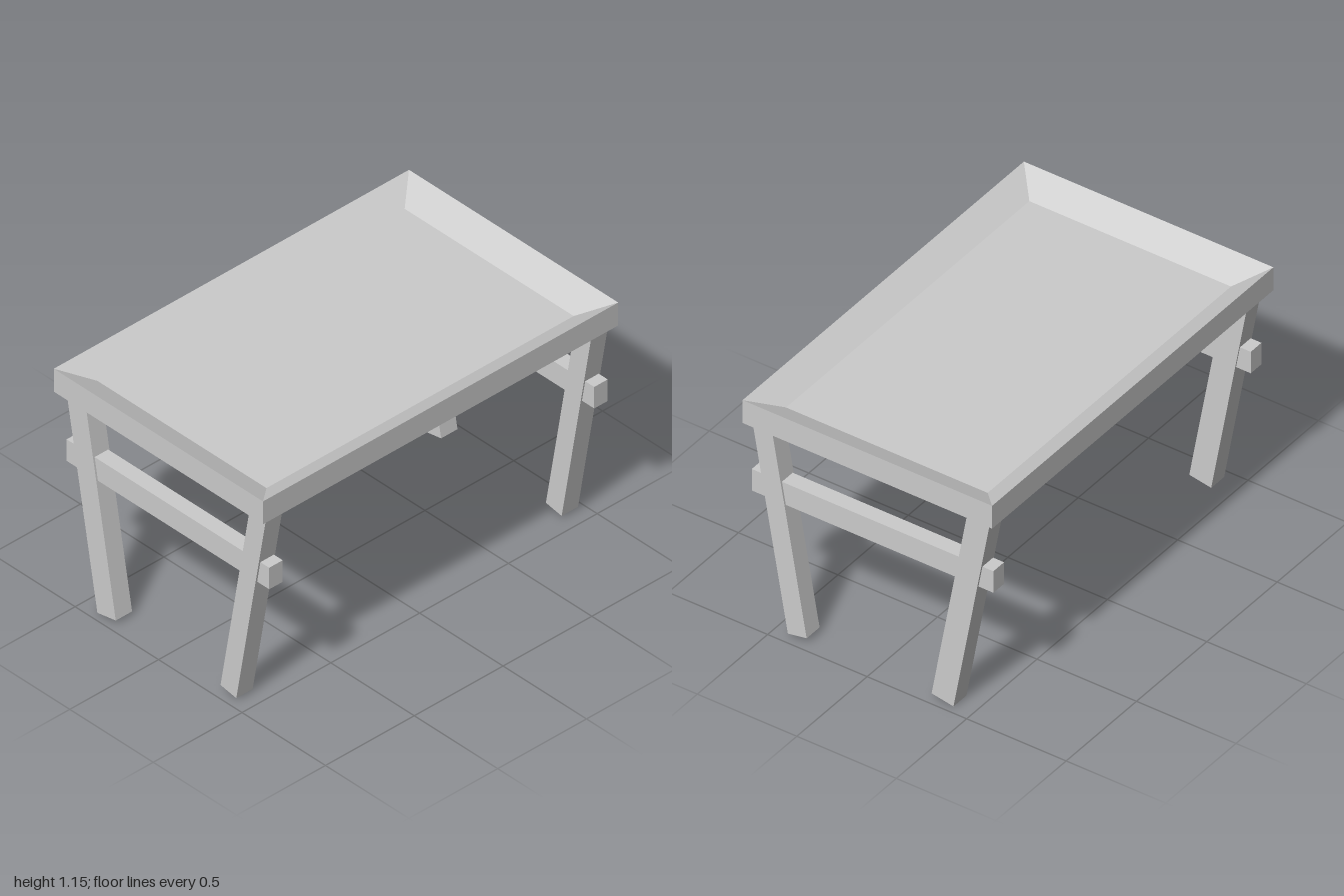
import * as THREE from 'three';

const grey = new THREE.MeshStandardMaterial({ color: 0xcccccc, flatShading: true });
const greyThin = new THREE.MeshStandardMaterial({ color: 0xcccccc, flatShading: true, side: THREE.DoubleSide });

// Rectangle of four corners at height y, going round from back left
const ring = (x, y, zBack, zFront) => [[-x, y, zBack], [-x, y, zFront], [x, y, zFront], [x, y, zBack]];

// Thin open-bottomed tray: outer wall, sloping inner wall, sunken floor
function trayGeometry() {
  const rings = [
    ring(1, 1.03, -0.628, 0.626),
    ring(1, 1.147, -0.628, 0.626),
    ring(0.865, 1.08, -0.51, 0.503),
  ];
  const points = [];
  const quad = (a, b, c, d) => points.push(...a, ...b, ...c, ...a, ...c, ...d);
  for (let r = 0; r < 2; r++) {
    for (let i = 0; i < 4; i++) {
      const j = (i + 1) % 4;
      quad(rings[r][i], rings[r][j], rings[r + 1][j], rings[r + 1][i]);
    }
  }
  quad(...rings[2]);
  const geometry = new THREE.BufferGeometry();
  geometry.setAttribute('position', new THREE.Float32BufferAttribute(points, 3));
  geometry.computeVertexNormals();
  return geometry;
}

// Square leg leaning outwards, placed by the centre of its foot
function leg(name, x, footY, footZ, depth, length, lean) {
  const geometry = new THREE.BoxGeometry(0.092, length, depth).translate(0, length / 2, 0);
  const mesh = new THREE.Mesh(geometry, grey);
  mesh.name = name;
  mesh.position.set(x, footY, footZ);
  mesh.rotation.x = THREE.MathUtils.degToRad(lean);
  return mesh;
}

export function createModel() {
  const model = new THREE.Group();
  model.name = 'trayTable';

  const tray = new THREE.Mesh(trayGeometry(), greyThin);
  tray.name = 'trayTop';
  model.add(tray);

  for (const side of [-1, 1]) {
    const label = side > 0 ? 'Left' : 'Right';
    // Legs
    model.add(leg('frontLeg' + label, side * 0.916, 0.022, 0.378, 0.096, 1.061, 10));
    model.add(leg('backLeg' + label, side * 0.916, 0.01, -0.352, 0.112, 1.07, -10.2));
    // Crossbar passing through both legs
    const bar = new THREE.Mesh(new THREE.BoxGeometry(0.076, 0.11, 1.214), grey);
    bar.name = 'crossbar' + label;
    bar.position.set(side * 0.915, side > 0 ? 0.716 : 0.722, 0.006);
    model.add(bar);
  }
  return model;
}
